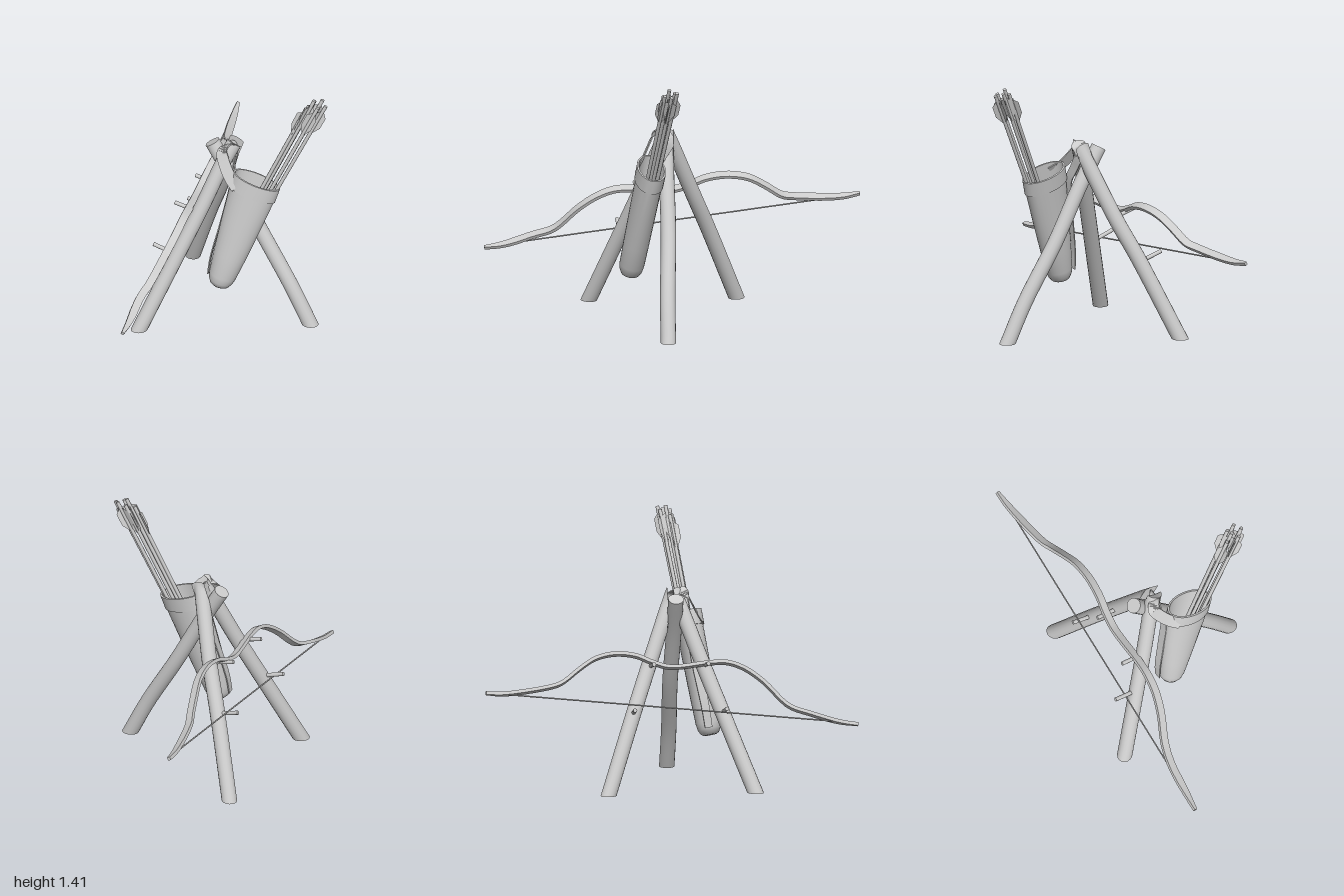
import * as THREE from 'three';
import { toCreasedNormals } from 'three/addons/utils/BufferGeometryUtils.js';

const V = (x, y, z) => new THREE.Vector3(x, y, z);
const mat = new THREE.MeshStandardMaterial({ color: 0xcccccc });
const matThin = new THREE.MeshStandardMaterial({ color: 0xcccccc, side: THREE.DoubleSide });

// Elliptical ring (a rectangle when n = 4) square to direction T
function ring(p, T, hint, a, b, n) {
  const v = T.clone().cross(hint).normalize();
  const u = v.clone().cross(T).normalize();
  const k = n === 4 ? Math.SQRT2 : 1;
  const start = n === 4 ? Math.PI / 4 : 0;
  return Array.from({ length: n }, (_, j) => {
    const q = start + (j / n) * Math.PI * 2;
    return p.clone().addScaledVector(u, a * k * Math.cos(q)).addScaledVector(v, b * k * Math.sin(q));
  });
}

// Skin over a list of rings, closed at both ends
function loft(rings) {
  const n = rings[0].length, m = rings.length;
  const pos = [], idx = [];
  rings.forEach(r => r.forEach(p => pos.push(p.x, p.y, p.z)));
  for (let i = 0; i < m - 1; i++) {
    for (let j = 0; j < n; j++) {
      const k = (j + 1) % n;
      const a = i * n + j, b = i * n + k, c = a + n, d = b + n;
      idx.push(a, b, d, a, d, c);
    }
  }
  [0, m - 1].forEach(i => {
    const c = rings[i].reduce((s, p) => s.add(p), V(0, 0, 0)).divideScalar(n);
    const id = pos.length / 3;
    pos.push(c.x, c.y, c.z);
    for (let j = 0; j < n; j++) {
      const a = i * n + j, b = i * n + (j + 1) % n;
      if (i) idx.push(id, a, b); else idx.push(id, b, a);
    }
  });
  const g = new THREE.BufferGeometry();
  g.setAttribute('position', new THREE.Float32BufferAttribute(pos, 3));
  g.setIndex(idx);
  return toCreasedNormals(g, 0.6);
}

function sweep(points, segs, n, hint, size, adjust) {
  const curve = new THREE.CatmullRomCurve3(points.map(p => V(...p)));
  const rings = [];
  for (let i = 0; i <= segs; i++) {
    const t = i / segs, T = curve.getTangent(t), [a, b] = size(t);
    const r = ring(curve.getPoint(t), T, hint(t), a, b, n);
    if (adjust) r.forEach(p => adjust(p, T, i));
    rings.push(r);
  }
  return loft(rings);
}

// Straight round bar between two points
function bar(p, q, r, n = 8) {
  const d = q.clone().sub(p);
  const m = new THREE.Mesh(new THREE.CylinderGeometry(r, r, d.length(), n), mat);
  m.position.copy(p).addScaledVector(d, 0.5);
  m.quaternion.setFromUnitVectors(V(0, 1, 0), d.normalize());
  return m;
}

export function createModel() {
  const model = new THREE.Group();
  const add = (name, obj, parent = model) => { obj.name = name; parent.add(obj); return obj; };

  // Tripod legs: flat feet, two of them mitred where they meet
  const leg = (name, pts, trim) => add(name, new THREE.Mesh(
    sweep(pts, 32, 16, () => V(1, 0, 0), () => [0.041, 0.041], (p, T, i) => {
      if (i === 0) p.addScaledVector(T, -p.y / T.y);
      if (trim) trim(p);
    }), mat));
  leg('leftLeg', [[0.388, 0, 0.045], [0.28, 0.213, 0.045], [0.097, 0.52, 0.035], [-0.06, 0.81, 0.04], [-0.175, 1.005, 0.04]]);
  leg('frontLeg', [[-0.43, 0, 0.44], [-0.27, 0.43, 0.27], [-0.185, 0.66, 0.18], [-0.085, 0.95, 0.07], [-0.05, 1.03, 0.035]],
    p => { p.z = Math.max(p.z, 0.035); });
  leg('backLeg', [[-0.447, 0, -0.345], [-0.28, 0.43, -0.19], [-0.19, 0.64, -0.11], [-0.085, 0.93, 0], [-0.05, 1.03, 0.04]],
    p => { p.z = Math.min(p.z, 0.003); });

  // Quiver: oval body with rounded foot, raised collar and hollow mouth
  const foot = V(-0.058, 0.248, 0.235), mouth = V(0.115, 0.885, 0.125);
  const axis = mouth.clone().sub(foot), along = axis.clone().normalize();
  const wide = V(0.96, -0.27, -0.08);
  const profile = [ // position along the axis, half width, half depth
    [0, 0.035, 0.035], [0.015, 0.052, 0.05], [0.05, 0.066, 0.061], [0.1, 0.074, 0.066],
    [0.3, 0.09, 0.068], [0.6, 0.11, 0.07], [0.875, 0.126, 0.071],
    [0.876, 0.132, 0.077], [1, 0.133, 0.078], [1.001, 0.123, 0.068], [0.6, 0.1, 0.06], [0.2, 0.07, 0.055]];
  const quiver = add('quiver', new THREE.Group());
  add('quiverBody', new THREE.Mesh(loft(profile.map(([t, a, b]) =>
    ring(foot.clone().addScaledVector(axis, t), along, wide, a, b, 28))), mat), quiver);

  // Strap: from the collar over the tripod, then down the side of the quiver
  const strapPts = [[0.03, 0.86, 0.195], [-0.02, 0.895, 0.17], [-0.07, 0.96, 0.135], [-0.09, 1.005, 0.11],
    [-0.065, 1.035, 0.07], [-0.045, 0.99, 0.025], [-0.04, 0.9, 0.07], [-0.037, 0.82, 0.12],
    [-0.075, 0.6, 0.165], [-0.115, 0.4, 0.205], [-0.124, 0.3, 0.22]];
  const tilt = V(0.75, 0.6, -0.25), flat = V(0.15, 0, 1);
  add('strap', new THREE.Mesh(sweep(strapPts, 60, 4,
    t => tilt.clone().lerp(flat, THREE.MathUtils.smoothstep(t, 0.3, 0.5)),
    t => [THREE.MathUtils.lerp(0.036, 0.02, t), 0.003]), matThin), quiver);

  // Arrows with three vanes each
  const vane = new THREE.Shape([[0, -0.2], [0.036, -0.13], [0.036, -0.06], [0, -0.03]].map(p => new THREE.Vector2(...p)));
  const vaneGeo = new THREE.ShapeGeometry(vane);
  const tops = [[0.41, 1.405, 0.04], [0.442, 1.395, 0.0], [0.472, 1.38, 0.03],
    [0.372, 1.36, 0.06], [0.44, 1.38, 0.065], [0.4, 1.385, 0.01]];
  const mean = V(0.42, 1.385, 0.034);
  const arrows = add('arrows', new THREE.Group());
  tops.forEach((t, i) => {
    const top = V(...t);
    const base = V(0.07, 0.6, 0.165).addScaledVector(top.clone().sub(mean), 0.8);
    const arrow = add('arrow', new THREE.Group(), arrows);
    add('shaft', bar(base, top, 0.01), arrow);
    const fletching = add('fletching', new THREE.Group(), arrow);
    fletching.position.copy(top);
    fletching.quaternion.setFromUnitVectors(V(0, 1, 0), top.clone().sub(base).normalize());
    for (let k = 0; k < 3; k++) {
      const f = add('vane', new THREE.Mesh(vaneGeo, matThin), fletching);
      f.rotation.y = i * 0.9 + k * Math.PI * 2 / 3;
    }
  });

  // Recurved bow with its string
  const bowPts = [[-0.295, 0.335, 1], [-0.297, 0.35, 0.9], [-0.303, 0.4, 0.74], [-0.288, 0.44, 0.63],
    [-0.247, 0.565, 0.5], [-0.23, 0.635, 0.4], [-0.23, 0.668, 0.31], [-0.238, 0.67, 0.22], [-0.268, 0.655, 0],
    [-0.27, 0.685, -0.1], [-0.266, 0.718, -0.18], [-0.27, 0.732, -0.29], [-0.288, 0.712, -0.4],
    [-0.315, 0.66, -0.49], [-0.345, 0.597, -0.58], [-0.372, 0.58, -0.64], [-0.438, 0.557, -0.9], [-0.458, 0.567, -1]];
  const bow = add('bow', new THREE.Group());
  add('bowLimbs', new THREE.Mesh(sweep(bowPts, 72, 4, () => V(0.88, -0.46, 0), t => {
    const e = Math.min(1, Math.min(t, 1 - t) * 12);
    return [0.008 + 0.013 * e, 0.009];
  }), mat), bow);
  add('bowString', bar(V(-0.297, 0.348, 0.93), V(-0.445, 0.56, -0.94), 0.004, 6), bow);

  // Pegs on the two right-hand legs that carry the bow
  [[[-0.325, 0.682, 0.2], [-0.2, 0.65, 0.19]], [[-0.325, 0.682, -0.09], [-0.2, 0.65, -0.1]],
    [[-0.41, 0.452, 0.29], [-0.28, 0.41, 0.28]], [[-0.415, 0.452, -0.2], [-0.28, 0.41, -0.2]]]
    .forEach(([p, q]) => add('peg', bar(V(...p), V(...q), 0.011, 10)));

  return model;
}
